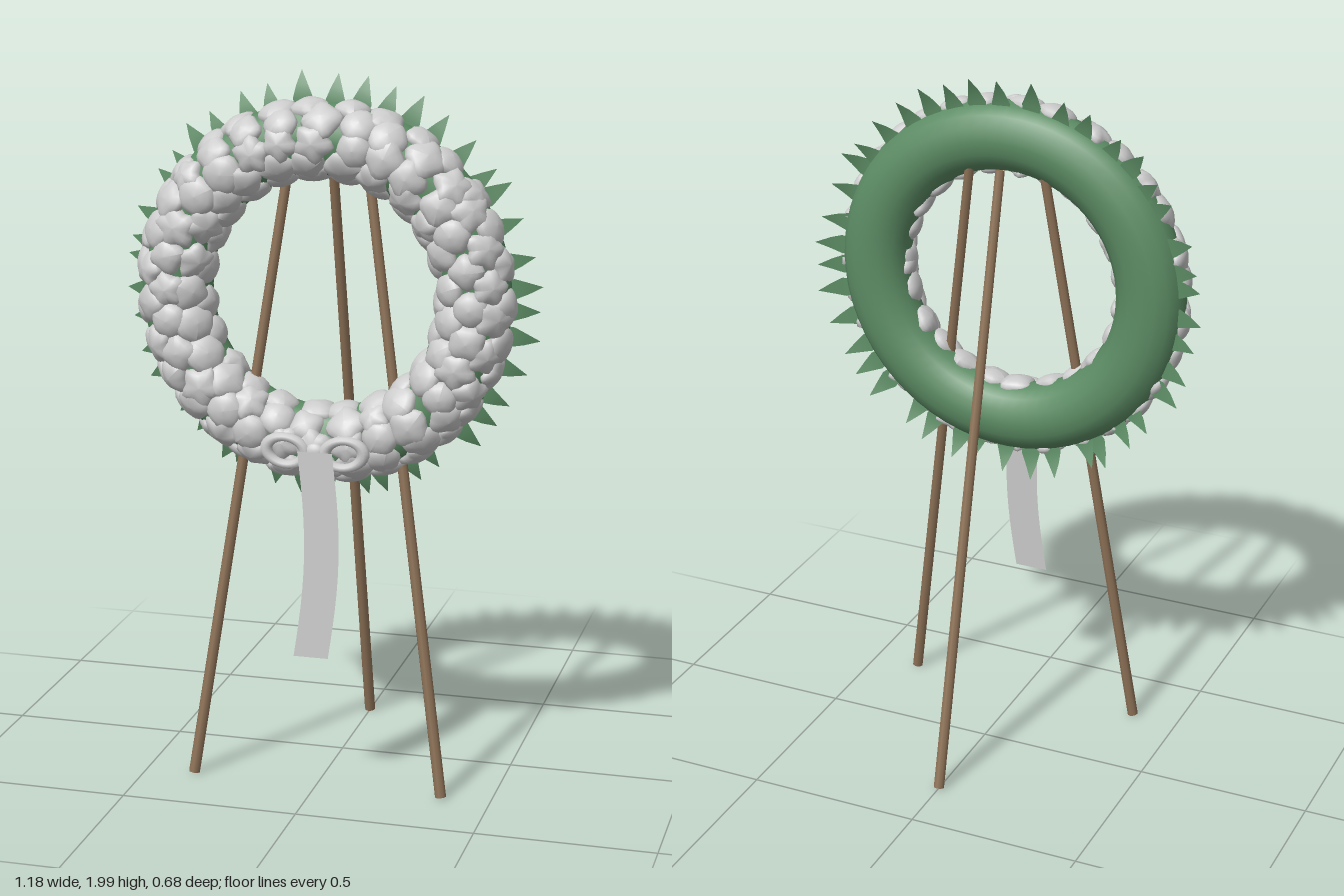
import * as THREE from 'three';

const mat = (name, color, side = THREE.FrontSide) => {
  const m = new THREE.MeshStandardMaterial({ color, side });
  m.name = name;
  return m;
};

// small seeded random, returns -1..1
function seeded(seed) {
  let s = seed;
  return () => {
    s = (s * 16807) % 2147483647;
    return (s / 2147483647) * 2 - 1;
  };
}

// flattened flower head facing +z, with lobes round its rim
function bloomGeometry(lobes, depth) {
  const g = new THREE.SphereGeometry(1, 20, 8);
  g.rotateX(Math.PI / 2);
  const p = g.attributes.position;
  for (let i = 0; i < p.count; i++) {
    const x = p.getX(i), y = p.getY(i);
    const k = 1 + depth * Math.cos(lobes * Math.atan2(y, x)) * Math.hypot(x, y);
    p.setXY(i, x * k, y * k);
  }
  g.computeVertexNormals();
  return g;
}

// flat strip lofted from [x, y, z, halfWidth] stations
function strip(stations) {
  const pos = [], idx = [];
  stations.forEach(([x, y, z, w], i) => {
    pos.push(x - w, y, z, x + w, y, z);
    if (i) {
      const a = 2 * i - 2;
      idx.push(a, a + 2, a + 1, a + 1, a + 2, a + 3);
    }
  });
  const g = new THREE.BufferGeometry();
  g.setAttribute('position', new THREE.Float32BufferAttribute(pos, 3));
  g.setIndex(idx);
  g.computeVertexNormals();
  return g;
}

export function createModel() {
  const green = mat('foliage green', 0x5c8c64);
  const leafGreen = mat('leaf green', 0x5c8c64, THREE.DoubleSide);
  const white = mat('petal white', 0xcccccc);
  const ribbon = mat('ribbon white', 0xcccccc, THREE.DoubleSide);
  const wood = mat('stand wood', 0x8f7358);

  const model = new THREE.Group();
  model.name = 'wreathOnStand';
  const add = (parent, name, geo, material) => {
    const m = new THREE.Mesh(geo, material);
    m.name = name;
    parent.add(m);
    return m;
  };
  const rnd = seeded(4711);

  // wreath: everything round the ring is placed about its centre
  const wreath = new THREE.Group();
  wreath.name = 'wreath';
  wreath.position.set(0, 1.4, 0.185);
  model.add(wreath);
  const R = 0.42;
  add(wreath, 'foliageRing', new THREE.TorusGeometry(R, 0.1, 16, 64), green).scale.z = 0.85;

  // rows of blooms over the front half of the tube: [tube angle, count]
  const blooms = new THREE.Group();
  blooms.name = 'blooms';
  wreath.add(blooms);
  const kinds = [bloomGeometry(5, 0.16), bloomGeometry(4, 0.1), bloomGeometry(6, 0.03)];
  const rows = [[12, 31], [48, 30], [88, 28], [130, 25], [168, 23]];
  const Z = new THREE.Vector3(0, 0, 1);
  rows.forEach(([deg, count], row) => {
    for (let i = 0; i < count; i++) {
      const a = ((i + (row % 2) / 2 + rnd() * 0.15) / count) * Math.PI * 2;
      const phi = THREE.MathUtils.degToRad(deg + rnd() * 5);
      const n = new THREE.Vector3(
        Math.cos(phi) * Math.cos(a), Math.cos(phi) * Math.sin(a), Math.sin(phi));
      const b = add(blooms, 'bloom', kinds[Math.floor((rnd() + 1) * 1.499)], white);
      b.position.set(R * Math.cos(a), R * Math.sin(a), 0).addScaledVector(n, 0.088);
      b.quaternion.setFromUnitVectors(Z, n);
      b.rotateZ(rnd() * Math.PI);
      const s = 0.051 + rnd() * 0.005;
      b.scale.set(s, s, 0.027);
    }
  });

  // pointed leaves round the outer rim, tips curling back
  const leaves = new THREE.Group();
  leaves.name = 'leaves';
  wreath.add(leaves);
  const leafGeo = strip([[0, 0.48, -0.03, 0.02], [0, 0.525, -0.033, 0.028],
    [0, 0.56, -0.042, 0.016], [0, 0.597, -0.06, 0.0005]]);
  const leafCount = 42;
  for (let i = 0; i < leafCount; i++) {
    const leaf = add(leaves, 'leaf', leafGeo, leafGreen);
    leaf.rotation.z = ((i + rnd() * 0.3) / leafCount) * Math.PI * 2;
    leaf.scale.setScalar(0.985 + rnd() * 0.02);
  }

  // three legs of the stand
  const leg = (name, foot, top) => {
    const a = new THREE.Vector3(...foot), b = new THREE.Vector3(...top);
    const d = b.clone().sub(a);
    const m = add(model, name, new THREE.CylinderGeometry(0.014, 0.016, d.length(), 8), wood);
    m.position.copy(a).addScaledVector(d, 0.5);
    m.quaternion.setFromUnitVectors(new THREE.Vector3(0, 1, 0), d.normalize());
  };
  leg('leftFrontLeg', [0.36, 0.004, 0.288], [0.11, 1.75, 0.145]);
  leg('rightFrontLeg', [-0.36, 0.004, 0.288], [-0.11, 1.75, 0.145]);
  leg('rearLeg', [0, 0.004, -0.322], [0, 1.745, 0.1]);

  // bow: two flattened loops and a knot
  const bow = new THREE.Group();
  bow.name = 'bow';
  bow.position.set(0, 0.975, 0.293);
  model.add(bow);
  for (const side of [-1, 1]) {
    const loop = add(bow, 'bowLoop', new THREE.TorusGeometry(0.055, 0.018, 10, 28), white);
    loop.scale.set(1, 0.7, 0.9);
    loop.position.x = side * 0.082;
    loop.rotation.z = side * 0.12;
  }
  const knot = add(bow, 'bowKnot', new THREE.SphereGeometry(0.03, 16, 10), white);
  knot.scale.set(1, 0.9, 0.55);

  // hanging ribbon with a gentle sideways curve
  const stations = [];
  for (let i = 0; i <= 12; i++) {
    const t = i / 12;
    stations.push([0.005 * (1 - t) + 0.025 * Math.sin(Math.PI * t),
      0.98 - 0.58 * t, 0.313 + 0.027 * t, 0.049]);
  }
  add(model, 'ribbonTail', strip(stations), ribbon);

  return model;
}
